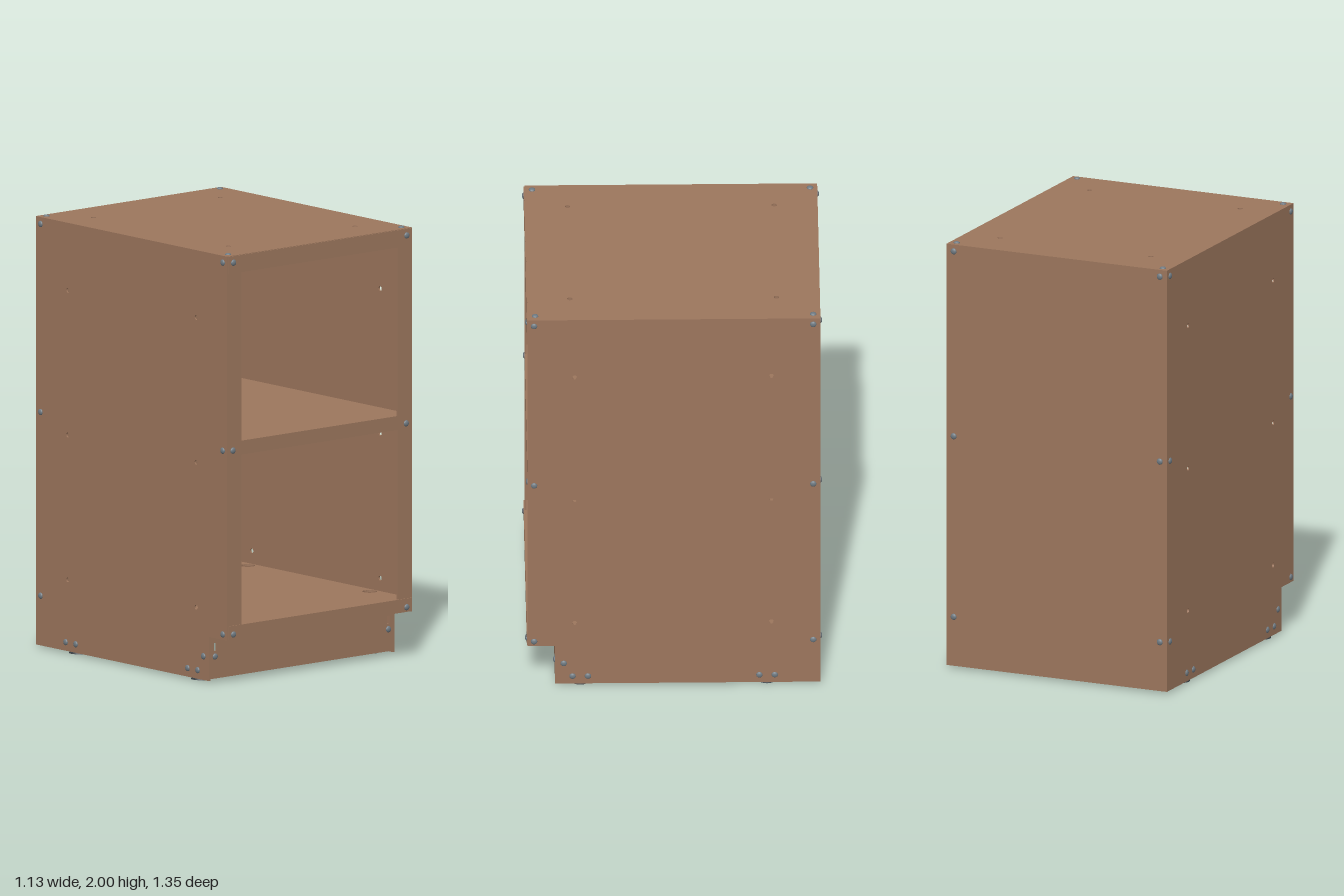
import * as THREE from 'three';

const W = 0.556, BACK = -0.668, FRONT = 0.664, TOP = 1.992, T = 0.008;
const FLOOR = 0.28, SHELF = 1.13;

export function createModel() {
  const group = new THREE.Group();
  const mat = (name, color) => {
    const m = new THREE.MeshStandardMaterial({ color });
    m.name = name;
    return m;
  };
  const brown = mat('brown painted sheet', 0x9c765d);
  const steel = mat('steel', 0x6f7a82);
  const dark = mat('dark foot', 0x3a4147);

  const add = (name, geo, material, x = 0, y = 0, z = 0, parent = group) => {
    const m = new THREE.Mesh(geo, material);
    m.name = name;
    m.position.set(x, y, z);
    parent.add(m);
    return m;
  };
  // box given by its minimum and maximum corners
  const block = (name, a, b, material = brown, parent = group) =>
    add(name, new THREE.BoxGeometry(b[0] - a[0], b[1] - a[1], b[2] - a[2]), material,
      (a[0] + b[0]) / 2, (a[1] + b[1]) / 2, (a[2] + b[2]) / 2, parent);

  const polygon = pts => new THREE.Shape(pts.map(p => new THREE.Vector2(...p)));
  const rect = (x0, y0, x1, y1) => polygon([[x0, y0], [x1, y0], [x1, y1], [x0, y1]]);
  const cutCircle = (shape, x, y, r) =>
    shape.holes.push(new THREE.Path().absarc(x, y, r, 0, Math.PI * 2, true));
  const sheet = shape =>
    new THREE.ExtrudeGeometry(shape, { depth: T, bevelEnabled: false, curveSegments: 10 });

  // side panels with toe notch and drilled holes
  for (const s of [1, -1]) {
    const side = polygon([[BACK, 0.01], [0.54, 0.01], [0.54, 0.215], [FRONT, 0.215],
      [FRONT, TOP - T], [BACK, TOP - T]]);
    for (const y of [0.34, 1.01, 1.68]) for (const z of [-0.445, 0.45]) cutCircle(side, z, y, 0.011);
    add(s > 0 ? 'leftSide' : 'rightSide', sheet(side).rotateY(-Math.PI / 2), brown, s > 0 ? W : -W + T);
  }

  // back panel
  block('backPanel', [-W + T, 0.01, BACK], [W - T, TOP - T, BACK + T]);

  // horizontal sheets
  const plate = (name, x, z0, z1, y, holes, r) => {
    const shape = rect(-x, z0, x, z1);
    for (const [hx, hz] of holes) for (const sx of [1, -1]) for (const sz of [1, -1])
      cutCircle(shape, sx * hx, sz * hz, r);
    add(name, sheet(shape).rotateX(Math.PI / 2), brown, 0, y);
  };
  plate('topPanel', W, BACK, FRONT, TOP, [[0.38, 0.47]], 0.012);
  plate('middleShelf', W - T, BACK + T, FRONT - T, SHELF, [], 0);
  plate('floorPanel', W - T, BACK + T, FRONT - T, FLOOR, [[0.507, 0.425]], 0.034);

  // rear lips folded down from each horizontal sheet
  for (const y of [TOP, SHELF, FLOOR])
    block('rearLip', [-W + T, y - 0.07, BACK + T], [W - T, y - T, BACK + 2 * T]);

  // front frame with two openings
  const frame = rect(-W + T, 0.218, W - T, TOP - T);
  for (const [y0, y1] of [[FLOOR, 1.065], [SHELF, 1.91]])
    frame.holes.push(rect(-0.468, y0, 0.468, y1));
  add('frontFrame', sheet(frame), brown, 0, 0, FRONT - T);

  // lips lying over the frame at top and bottom
  block('topLip', [-0.55, 1.91, FRONT], [0.55, TOP - 0.002, FRONT + 0.004]);
  block('bottomLip', [-0.55, 0.218, FRONT], [0.55, FLOOR, FRONT + 0.004]);

  // toe kick with adjustment slots and a folded edge
  const toe = rect(-W + T, 0.018, W - T, FLOOR - T);
  for (const s of [1, -1]) toe.holes.push(rect(s * 0.52 - 0.008, 0.145, s * 0.52 + 0.008, 0.182));
  add('toeKick', sheet(toe), brown, 0, 0, 0.54 - T);
  block('toeKickFold', [-W + T, 0.018, 0.5], [W - T, 0.018 + T, 0.54 - T]);

  // levelling feet on wall brackets
  for (const sx of [1, -1]) for (const sz of [1, -1]) {
    const foot = new THREE.Group();
    foot.name = 'levellingFoot';
    foot.position.set(sx * 0.507, 0, sz * 0.425);
    foot.scale.x = sx;
    // mirrored pieces are symmetric boxes, so place them by sign instead of flipping faces
    foot.scale.x = 1;
    const wall = sx * 0.041;
    block('bracketPlate', [Math.min(wall, wall - sx * T), 0.025, -0.06],
      [Math.max(wall, wall - sx * T), 0.1, 0.06], brown, foot);
    block('bracketShelf', [-0.036, 0.085, -0.06], [0.036, 0.093, 0.06], brown, foot);
    for (const e of [1, -1])
      block('bracketCheek', [-0.036, 0.04, e * 0.056 - 0.004], [0.036, 0.085, e * 0.056 + 0.004], brown, foot);
    add('footPad', new THREE.CylinderGeometry(0.04, 0.045, 0.014, 20), dark, 0, 0.007, 0, foot);
    add('footStem', new THREE.CylinderGeometry(0.012, 0.012, 0.13, 10), steel, 0, 0.075, 0, foot);
    add('footNut', new THREE.CylinderGeometry(0.022, 0.022, 0.014, 6), steel, 0, 0.076, 0, foot);
    group.add(foot);
  }

  // domed screws
  const dome = new THREE.SphereGeometry(0.015, 12, 4, 0, Math.PI * 2, 0, Math.PI / 2).scale(1, 0.53, 1);
  const up = new THREE.Vector3(0, 1, 0);
  const screw = (x, y, z, nx, ny, nz) =>
    add('screw', dome, steel, x, y, z).quaternion.setFromUnitVectors(up, new THREE.Vector3(nx, ny, nz));
  for (const s of [1, -1]) {
    for (const y of [1.96, 1.09, 0.24]) {
      screw(s * 0.52, y, y === 1.09 ? FRONT : FRONT + 0.004, 0, 0, 1);
      screw(s * 0.52, y, BACK, 0, 0, -1);
      for (const z of [0.635, -0.635]) screw(s * W, y, z, s, 0, 0);
    }
    screw(s * 0.52, 0.12, 0.54, 0, 0, 1);
    screw(s * W, 0.12, 0.5, s, 0, 0);
    for (const z of [0.46, 0.39, -0.39, -0.46]) screw(s * W, 0.05, z, s, 0, 0);
    for (const z of [0.63, -0.635]) screw(s * 0.52, TOP, z, 0, 1, 0);
  }
  return group;
}
